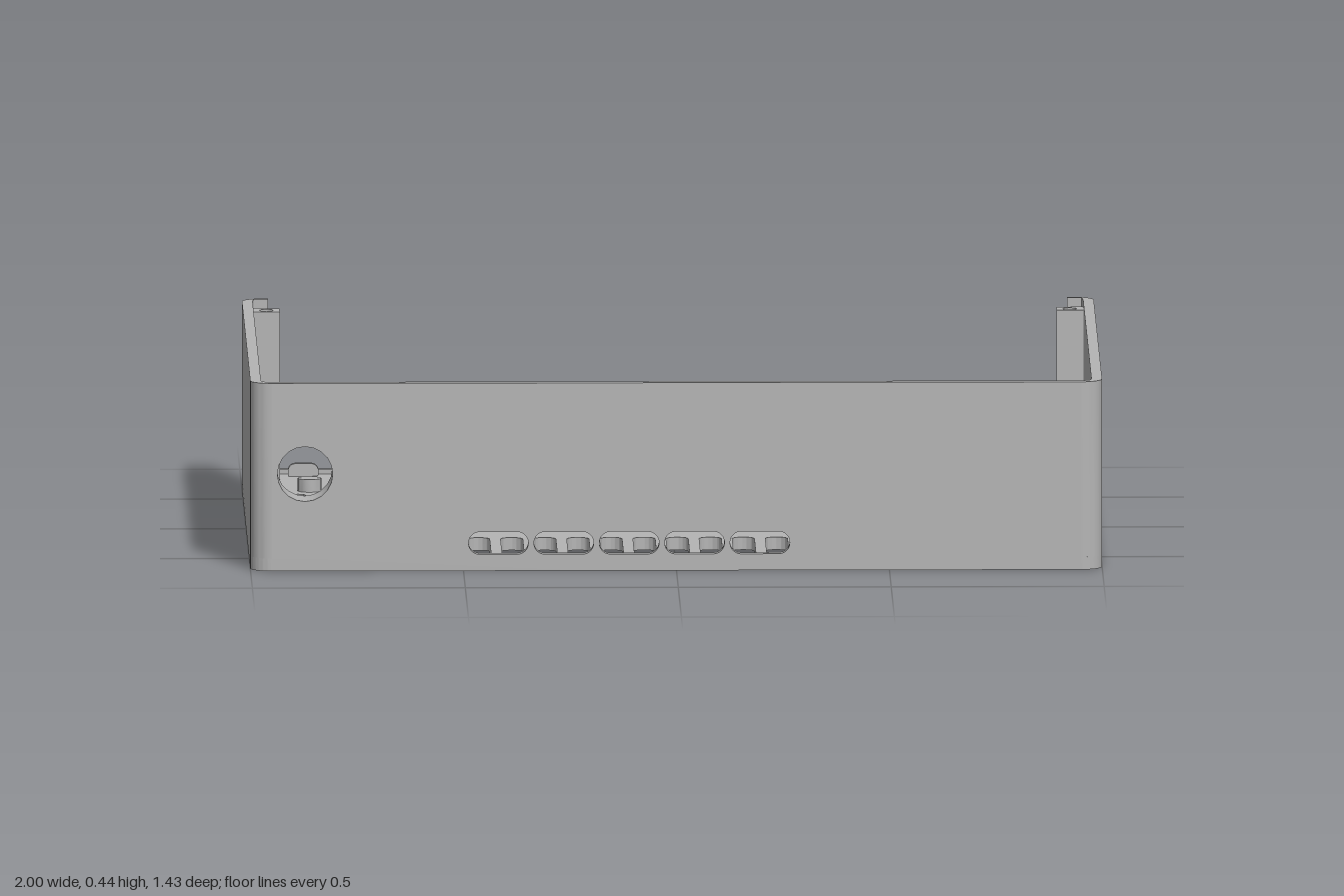
import * as THREE from 'three';
import { toCreasedNormals } from 'three/addons/utils/BufferGeometryUtils.js';

const H = 0.445, FLOOR = 0.03, DEPTH = 0.715, WALL = 0.025;

export function createModel() {
  const model = new THREE.Group();
  model.name = 'enclosureBase';
  const plastic = new THREE.MeshStandardMaterial({ color: 0xb4b4b4 });
  plastic.name = 'grey plastic';

  const add = (name, geometry) => {
    const mesh = new THREE.Mesh(toCreasedNormals(geometry, 0.6), plastic);
    mesh.name = name;
    model.add(mesh);
    return mesh;
  };
  const extrude = (shape, depth) =>
    new THREE.ExtrudeGeometry(shape, { depth, bevelEnabled: false, curveSegments: 10 });
  // Plan shapes use (x, -z) and rise from y0 to y1
  const rise = (name, shape, y0, y1) =>
    add(name, extrude(shape, y1 - y0).rotateX(-Math.PI / 2).translate(0, y0, 0));
  const box = (name, x0, x1, y0, y1, z0, z1) =>
    add(name, new THREE.BoxGeometry(x1 - x0, y1 - y0, z1 - z0)
      .translate((x0 + x1) / 2, (y0 + y1) / 2, (z0 + z1) / 2));

  // Rounded rectangle; a radius of half the short side gives a slot
  const rounded = (x0, x1, y0, y1, r, Type = THREE.Shape) => {
    const s = new Type();
    s.absarc(x1 - r, y0 + r, r, -Math.PI / 2, 0);
    s.absarc(x1 - r, y1 - r, r, 0, Math.PI / 2);
    s.absarc(x0 + r, y1 - r, r, Math.PI / 2, Math.PI);
    s.absarc(x0 + r, y0 + r, r, Math.PI, Math.PI * 1.5);
    s.closePath();
    return s;
  };
  const rect = (x0, x1, y0, y1) => new THREE.Shape([
    new THREE.Vector2(x0, y0), new THREE.Vector2(x1, y0),
    new THREE.Vector2(x1, y1), new THREE.Vector2(x0, y1)]);
  const circle = (x, y, r, Type = THREE.Path) => new Type().absarc(x, y, r, 0, Math.PI * 2);

  // Floor with ventilation slots
  const floor = rounded(-1, 1, -DEPTH, DEPTH, 0.05);
  const slot = (x, z0, z1, w) =>
    floor.holes.push(rounded(x - w / 2, x + w / 2, -z1, -z0, w / 2 - 0.001, THREE.Path));
  for (let i = 0; i < 10; i++) slot(-0.46 + i * 0.0777, 0.37, 0.67, 0.052);
  [-0.94, -0.873, -0.807].forEach((x, i) => {
    slot(x, -0.365, -0.083, 0.035);
    if (i === 0) slot(x, 0.05 - 0.1, 0.18, 0.035);
    else {
      slot(x, -0.05, 0.055, 0.035);
      slot(x, 0.13, 0.18, 0.035);
    }
  });
  rise('floor', floor, 0, FLOOR);
  box('backLip', -0.94, 0.94, FLOOR, FLOOR + 0.012, -DEPTH, -DEPTH + 0.012);

  // Front wall with cable hole and vents
  const front = rect(-0.95, 0.95, FLOOR, H);
  front.holes.push(circle(-0.872, 0.23, 0.065));
  for (let i = 0; i < 5; i++) {
    const x = -0.488 + i * 0.1535;
    front.holes.push(rounded(x, x + 0.14, 0.039, 0.092, 0.026, THREE.Path));
  }
  add('frontWall', extrude(front, WALL).translate(0, 0, DEPTH - WALL));

  // Raised collar behind the cable hole
  const collar = rounded(-0.943, -0.803, 0.07, 0.39, 0.069);
  collar.holes.push(circle(-0.872, 0.23, 0.065));
  add('cableCollar', extrude(collar, 0.07).translate(0, 0, 0.62));

  for (const s of [1, -1]) {
    const side = s > 0 ? 'left' : 'right';
    // Side wall with rounded corners, hooked at the open back
    const w = new THREE.Shape();
    const k = 0.0224;
    w.moveTo(s * 0.95, -0.715);
    w.bezierCurveTo(s * (1 - k), -0.715, s, -0.715 + k, s, -0.665);
    w.lineTo(s, 0.665);
    w.bezierCurveTo(s, 0.715 - k, s * (1 - k), 0.715, s * 0.95, 0.715);
    w.lineTo(s * 0.938, 0.715);
    w.lineTo(s * 0.938, 0.7);
    w.lineTo(s * 0.972, 0.7);
    w.lineTo(s * 0.975, 0.66);
    w.lineTo(s * 0.975, -0.665);
    w.quadraticCurveTo(s * 0.975, -0.69, s * 0.95, -0.69);
    w.closePath();
    rise(side + 'Wall', w, FLOOR, H);

    // Back screw post and the inner rail of the panel groove
    const xs = [s * 0.912, s * 0.98].sort((a, b) => a - b);
    const post = rect(xs[0], xs[1], 0.597, 0.65);
    post.holes.push(circle(s * 0.943, 0.622, 0.016));
    rise(side + 'BackPost', post, FLOOR, 0.43);
    const rail = [s * 0.945, s * 0.98].sort((a, b) => a - b);
    box(side + 'PanelRail', rail[0], rail[1], FLOOR, 0.43, -0.662, -0.649);
  }

  // Front screw posts
  for (const x of [-0.645, 0.815]) {
    const post = rect(x - 0.04, x + 0.04, -0.695, -0.6);
    post.holes.push(circle(x, -0.637, 0.017));
    rise('frontPost', post, FLOOR, 0.43);
  }

  // Hollow board standoffs
  const tube = (name, x, z, r, hole, y0, y1) => {
    const s = circle(x, -z, r, THREE.Shape);
    s.holes.push(circle(x, -z, hole));
    rise(name, s, y0, y1);
  };
  for (const x of [-0.56, 0.345]) tube('standoff', x, -0.35, 0.038, 0.026, FLOOR, 0.135);

  // Flanged standoffs
  for (const x of [-0.525, 0.65]) {
    tube('standoffBase', x, 0.395, 0.036, 0.018, FLOOR, 0.075);
    tube('standoffFlange', x, 0.395, 0.05, 0.018, 0.075, 0.105);
    tube('standoffTop', x, 0.395, 0.034, 0.018, 0.105, 0.135);
  }

  // Low solid pegs
  for (const z of [-0.425, 0.105])
    rise('peg', circle(-0.845, -z, 0.028, THREE.Shape), FLOOR, 0.06);

  // Stepped clips, one of them turned
  for (const [x, z, angle] of [[0.774, -0.61, 0], [-0.692, 0.318, 0.5]]) {
    const g = new THREE.Shape([[-0.035, 0], [0.03, 0], [0.03, 0.05], [0.012, 0.075],
      [-0.008, 0.075], [-0.008, 0.06], [-0.035, 0.06]].map(p => new THREE.Vector2(...p)));
    const clip = add('clip', extrude(g, 0.046).translate(0, 0, -0.023).rotateY(Math.PI / 2));
    clip.position.set(x, FLOOR, z);
    clip.rotation.y = angle;
  }

  // Upright support plate and its rib
  box('supportPlate', 0.585, 0.712, FLOOR, 0.24, 0.52, 0.55);
  box('supportRib', 0.6, 0.7, FLOOR, 0.24, 0.55, 0.575);

  // Small rounded tab at the back edge
  add('backTab', extrude(rounded(-0.892, -0.82, FLOOR - 0.01, 0.06, 0.018), 0.016)
    .translate(0, 0, -0.683));

  return model;
}
